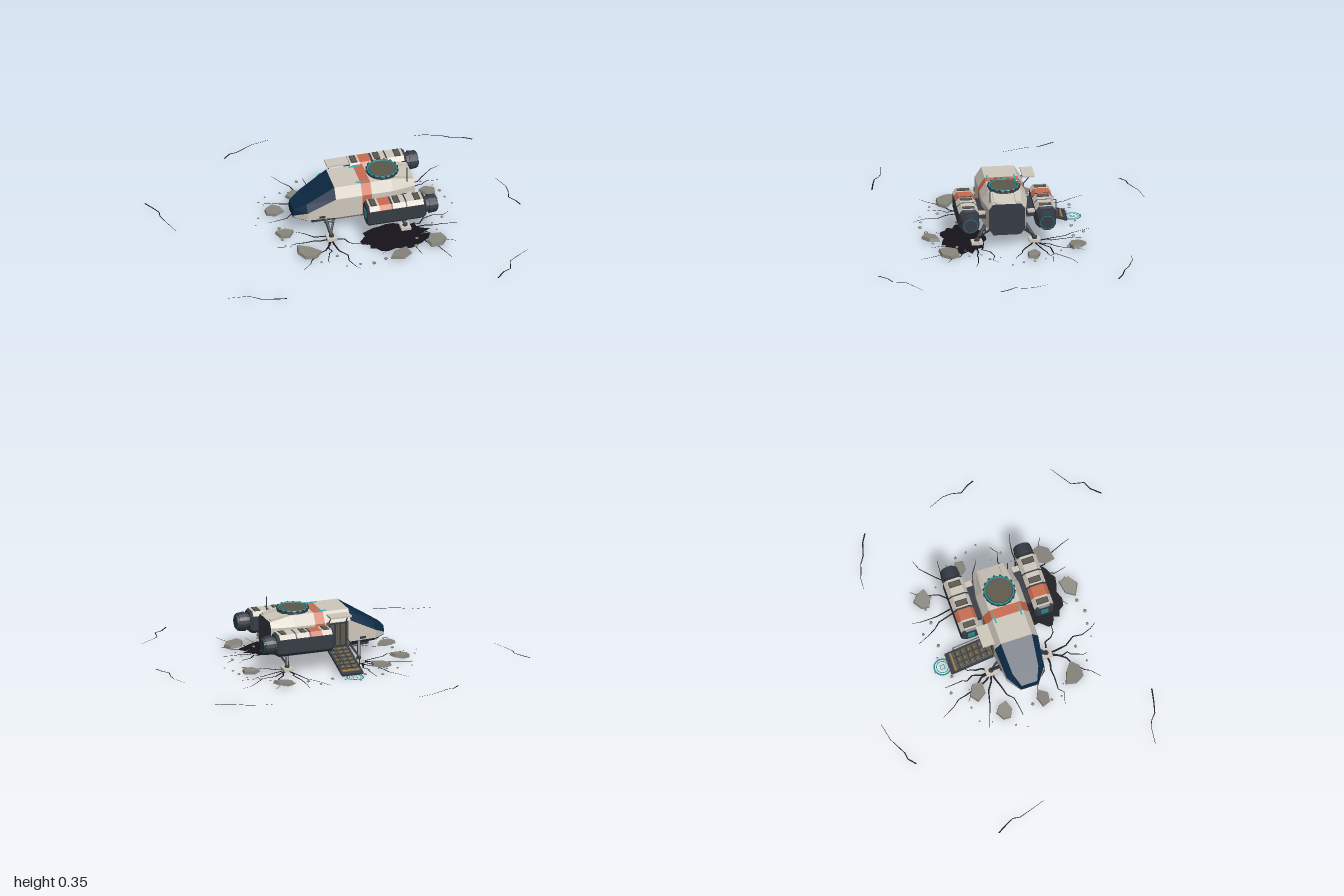
import * as THREE from 'three';

const mat = (name, color, double) => {
  const m = new THREE.MeshStandardMaterial({ color });
  m.name = name;
  m.flatShading = true;
  if (double) m.side = THREE.DoubleSide;
  return m;
};
const M = {
  shell: mat('paleShell', 0xcec7bb), orange: mat('orangeStripe', 0xc86c50),
  dark: mat('darkMetal', 0x363b44), glass: mat('navyGlass', 0x0b2a44),
  teal: mat('tealLight', 0x1f8a8a, true), rock: mat('rock', 0x87857c),
  olive: mat('olivePanel', 0x5c584a), black: mat('crackBlack', 0x15131a, true),
  amber: mat('amberMark', 0xb08a3c), cyan: mat('cyanLight', 0x2fb8c8),
};
const C = 0.033; // z of the ship's centre line

let seed = 7;
const rnd = () => (seed = (seed * 16807) % 2147483647) / 2147483647;

export function createModel() {
  const root = new THREE.Group();
  root.name = 'landedShuttle';
  const ship = new THREE.Group();
  ship.name = 'shuttle';
  ship.position.z = C;
  const ground = new THREE.Group();
  ground.name = 'brokenGround';
  root.add(ship, ground);

  const add = (parent, name, geo, m, x = 0, y = 0, z = 0) => {
    const mesh = new THREE.Mesh(geo, m);
    mesh.name = name;
    mesh.position.set(x, y, z);
    parent.add(mesh);
    return mesh;
  };
  const box = (p, name, m, w, h, d, x, y, z) => add(p, name, new THREE.BoxGeometry(w, h, d), m, x, y, z);
  const beam = (p, name, m, a, b, r) => {
    const A = new THREE.Vector3(...a), B = new THREE.Vector3(...b), d = B.clone().sub(A);
    const mesh = add(p, name, new THREE.CylinderGeometry(r, r, d.length(), 6), m);
    mesh.position.copy(A).add(B).multiplyScalar(0.5);
    mesh.quaternion.setFromUnitVectors(new THREE.Vector3(0, 1, 0), d.normalize());
  };
  // Cylinder lying along x
  const tubeX = (p, name, m, rBack, rFront, len, x, y) =>
    add(p, name, new THREE.CylinderGeometry(rBack, rFront, len, 16).rotateZ(-Math.PI / 2), m, x, y, 0);

  // Octagonal loft along x; section = [x, yBottom, yLow, yHigh, yTop, wBottom, w, wTop]
  // Sides: 0 low chamfer -z, 1 side, 2 high chamfer, 3 top, 4 high chamfer +z, 5 side, 6 low chamfer, 7 bottom, 8 cap
  const loft = (p, name, sections, pick) => {
    const rings = sections.map(([x, b, l, h, t, wb, w, wt]) => [
      [x, b, -wb], [x, l, -w], [x, h, -w], [x, t, -wt], [x, t, wt], [x, h, w], [x, l, w], [x, b, wb]]);
    const buckets = new Map();
    const tri = (m, ...v) => {
      if (!buckets.has(m)) buckets.set(m, []);
      buckets.get(m).push(...v.flat());
    };
    const n = rings.length - 1;
    for (let i = 0; i < n; i++) for (let j = 0; j < 8; j++) {
      const k = (j + 1) % 8, m = pick(i, j);
      const [a, b, c, d] = [rings[i][j], rings[i][k], rings[i + 1][k], rings[i + 1][j]];
      tri(m, a, b, c);
      tri(m, a, c, d);
    }
    for (let j = 1; j < 7; j++) {
      tri(pick(0, 8), rings[0][0], rings[0][j + 1], rings[0][j]);
      tri(pick(n, 8), rings[n][0], rings[n][j], rings[n][j + 1]);
    }
    const g = new THREE.Group();
    g.name = name;
    p.add(g);
    for (const [m, v] of buckets) {
      const geo = new THREE.BufferGeometry();
      geo.setAttribute('position', new THREE.Float32BufferAttribute(v, 3));
      geo.computeVertexNormals();
      add(g, name + '_' + m.name, geo, m);
    }
  };

  // Hull with windscreen, stripe, dark belly and dark rear bulkhead
  const full = [0.08, 0.115, 0.238, 0.295, 0.09, 0.126, 0.09];
  loft(ship, 'hull', [
    [-0.278, 0.1, 0.11, 0.122, 0.158, 0.04, 0.055, 0.045],
    [-0.21, 0.09, 0.112, 0.158, 0.198, 0.075, 0.107, 0.075],
    [-0.055, ...full], [0.095, ...full], [0.15, ...full], [0.27, ...full],
    [0.402, 0.085, 0.115, 0.235, 0.265, 0.078, 0.1, 0.078],
  ], (i, j) => {
    if (j === 8) return i === 0 ? M.glass : M.dark;
    if (j === 7 || (i < 2 && (j === 0 || j === 6))) return M.dark;
    if (i < 2 && j >= 2 && j <= 4) return M.glass;
    return i === 3 ? M.orange : M.shell;
  });
  box(ship, 'bellyKeel', M.dark, 0.56, 0.014, 0.15, 0.1, 0.078, 0);
  for (const s of [-1, 1]) {
    box(ship, 'noseVent', M.dark, 0.035, 0.012, 0.008, -0.13, 0.128, s * 0.119).rotation.y = s * -0.12;
    box(ship, 'roofLight', M.cyan, 0.06, 0.006, 0.008, 0.1, 0.296, s * 0.075);
    box(ship, 'roofRib', M.shell, 0.1, 0.012, 0.025, 0.345, 0.281, s * 0.06).rotation.z = -0.22;
  }

  // Roof hatch
  add(ship, 'hatchCollar', new THREE.CylinderGeometry(0.084, 0.088, 0.014, 24), M.dark, 0.24, 0.301, 0);
  add(ship, 'hatchLid', new THREE.CylinderGeometry(0.072, 0.072, 0.012, 24), M.olive, 0.24, 0.306, 0);
  add(ship, 'hatchRing', new THREE.TorusGeometry(0.08, 0.006, 6, 28).rotateX(Math.PI / 2), M.teal, 0.24, 0.309, 0);
  for (let i = 0; i < 16; i++) {
    const a = i * Math.PI / 8;
    box(ship, 'hatchBolt', M.dark, 0.012, 0.012, 0.012, 0.24 + 0.085 * Math.cos(a), 0.308, 0.085 * Math.sin(a)).rotation.y = -a;
  }
  beam(ship, 'antenna', M.dark, [0.36, 0.25, 0.09], [0.36, 0.355, 0.09], 0.003);

  // Engine pods, pylons and nozzles
  for (const s of [-1, 1]) {
    const pod = new THREE.Group();
    pod.name = s > 0 ? 'leftEnginePod' : 'rightEnginePod';
    pod.position.z = s * 0.213;
    ship.add(pod);
    const sec = (x, k = 0) => [x, 0.12 + k, 0.14 + k, 0.222 - k, 0.245 - k, 0.036 - k, 0.056 - k, 0.036 - k];
    loft(pod, 'podBody', [sec(0.09, 0.008), sec(0.102), sec(0.16), sec(0.225), sec(0.235), sec(0.308), sec(0.316), sec(0.41), sec(0.425, 0.008)],
      (i, j) => j < 2 || j > 4 || [0, 3, 5, 7].includes(i) ? M.dark : i === 2 ? M.orange : M.shell);
    for (const x of [0.13, 0.262, 0.378]) {
      box(pod, 'podVentFrame', M.dark, 0.034, 0.007, 0.068, x, 0.243, 0);
      box(pod, 'podVent', M.olive, 0.026, 0.008, 0.06, x, 0.244, 0);
    }
    box(pod, 'intakeLight', M.teal, 0.008, 0.05, 0.04, 0.089, 0.183, 0);
    tubeX(pod, 'nozzleNeck', M.dark, 0.045, 0.045, 0.05, 0.435, 0.183);
    tubeX(pod, 'nozzleBell', M.dark, 0.049, 0.054, 0.042, 0.465, 0.183);
    tubeX(pod, 'nozzleRim', M.dark, 0.043, 0.046, 0.012, 0.486, 0.183);
    tubeX(pod, 'nozzleGlow', M.teal, 0.04, 0.04, 0.004, 0.492, 0.183);
    tubeX(pod, 'nozzleCore', M.dark, 0.037, 0.037, 0.004, 0.494, 0.183);
    box(ship, 'pylon', M.dark, 0.2, 0.036, 0.06, 0.26, 0.185, s * 0.143);
    box(ship, 'pylonCap', M.shell, 0.03, 0.012, 0.05, 0.365, 0.205, s * 0.142);
  }

  // Landing legs
  for (const s of [-1, 1]) for (const x of [-0.09, 0.33]) {
    const leg = new THREE.Group();
    leg.name = x < 0 ? 'frontLeg' : 'rearLeg';
    ship.add(leg);
    beam(leg, 'legStrut', M.dark, [x - 0.025, 0.125, s * 0.1], [x, 0.025, s * 0.16], 0.01);
    beam(leg, 'legBrace', M.dark, [x + 0.035, 0.1, s * 0.09], [x, 0.04, s * 0.155], 0.006);
    beam(leg, 'legCross', M.dark, [x - 0.03, 0.09, s * 0.115], [x + 0.025, 0.085, s * 0.115], 0.005);
    box(leg, 'footPad', M.shell, 0.055, 0.016, 0.062, x, 0.014, s * 0.16);
    add(leg, 'footJoint', new THREE.CylinderGeometry(0.013, 0.015, 0.014, 8), M.dark, x, 0.028, s * 0.16);
  }

  // Side doorway, raised door and boarding ramp
  const door = new THREE.Group();
  door.name = 'boardingDoor';
  door.position.x = 0.022;
  ship.add(door);
  box(door, 'doorway', M.dark, 0.11, 0.145, 0.008, 0, 0.162, -0.124);
  for (const x of [-0.032, 0, 0.032]) box(door, 'cabinPanel', M.olive, 0.022, 0.12, 0.006, x, 0.165, -0.127);
  for (const s of [-1, 1]) {
    box(door, 'doorPost', M.olive, 0.01, 0.15, 0.012, s * 0.058, 0.165, -0.126);
    beam(door, 'doorStrut', M.dark, [s * 0.05, 0.235, -0.125], [s * 0.05, 0.283, -0.165], 0.003);
  }
  box(door, 'raisedDoor', M.shell, 0.125, 0.01, 0.068, 0, 0.284, -0.156);
  const ramp = new THREE.Group();
  ramp.name = 'ramp';
  ramp.position.set(0, 0.049, -0.25);
  ramp.rotation.x = -0.3;
  door.add(ramp);
  box(ramp, 'rampDeck', M.olive, 0.122, 0.01, 0.25, 0, 0, 0);
  for (let i = 0; i < 6; i++) {
    const z = -0.07 + i * 0.034;
    box(ramp, 'rampTread', M.dark, 0.1, 0.006, 0.006, 0, 0.005, z);
    for (const x of [-0.035, 0, 0.035]) box(ramp, 'rampStud', M.amber, 0.01, 0.005, 0.005, x, 0.0045, z + 0.013);
  }
  for (const x of [-0.018, 0.018]) box(ramp, 'rampSeam', M.dark, 0.004, 0.006, 0.2, x, 0.0045, 0.01);
  box(ramp, 'rampMark', M.amber, 0.11, 0.006, 0.007, 0, 0.006, -0.094);
  box(ramp, 'rampLip', M.dark, 0.122, 0.012, 0.022, 0, 0, -0.116);
  for (const s of [-1, 1]) {
    box(ramp, 'rampEdge', M.dark, 0.009, 0.014, 0.25, s * 0.058, 0.002, 0);
    beam(ramp, 'handRail', M.dark, [s * 0.058, 0.048, 0.14], [s * 0.058, 0.055, -0.06], 0.0025);
    beam(ramp, 'railPost', M.dark, [s * 0.058, 0, -0.075], [s * 0.058, 0.055, -0.06], 0.0025);
  }

  // Ring marker on the ground at the ramp foot
  const flat = (name, geo, m, x, y, z) => add(ground, name, geo.rotateX(-Math.PI / 2), m, x, y, z);
  flat('markerOuterRing', new THREE.RingGeometry(0.042, 0.05, 32), M.teal, 0.02, 0.006, -0.372);
  flat('markerInnerRing', new THREE.RingGeometry(0.031, 0.035, 32), M.teal, 0.02, 0.006, -0.372);
  flat('markerSquare', new THREE.RingGeometry(0.014, 0.019, 4, 1, Math.PI / 4), M.teal, 0.02, 0.006, -0.372);

  // Scorched patch with a ragged rim
  const blot = [];
  for (let i = 0; i < 30; i++) {
    const a = i / 30 * Math.PI * 2, k = 0.85 + 0.28 * rnd();
    blot.push(new THREE.Vector2(0.19 * k * Math.cos(a), 0.12 * k * Math.sin(a)));
  }
  flat('scorchPatch', new THREE.ShapeGeometry(new THREE.Shape(blot)), M.black, 0.255, 0.003, 0.26);

  // Ground cracks as tapering ribbons
  const crack = (pts, w0, w1) => {
    const pos = [], idx = [], n = pts.length - 1;
    pts.forEach(([x, z], i) => {
      const a = pts[Math.max(0, i - 1)], b = pts[Math.min(n, i + 1)];
      const dx = b[0] - a[0], dz = b[1] - a[1], l = Math.hypot(dx, dz), w = (w0 + (w1 - w0) * i / n) / 2;
      pos.push(x - dz / l * w, 0.004, z + dx / l * w, x + dz / l * w, 0.004, z - dx / l * w);
      if (i < n) idx.push(2 * i, 2 * i + 1, 2 * i + 2, 2 * i + 1, 2 * i + 3, 2 * i + 2);
    });
    const g = new THREE.BufferGeometry();
    g.setAttribute('position', new THREE.Float32BufferAttribute(pos, 3));
    g.setIndex(idx);
    g.computeVertexNormals();
    add(ground, 'groundCrack', g, M.black);
  };
  [[[-1, -.39], [-.965, -.33], [-.945, -.29], [-.95, -.25], [-.935, -.2], [-.9, -.095]],
    [[-.47, -.69], [-.43, -.725], [-.39, -.73], [-.34, -.755], [-.29, -.78], [-.19, -.8]],
    [[.9, -.525], [.85, -.555], [.78, -.575], [.735, -.605], [.685, -.62], [.655, -.632], [.59, -.635]],
    [[1, .14], [.985, .1], [.955, .055], [.967, 0], [.965, -.05], [.93, -.135]],
    [[-.47, .68], [-.55, .665], [-.61, .65], [-.645, .62], [-.68, .605], [-.785, .595]],
    [[.705, .785], [.75, .735], [.795, .715], [.81, .645], [.86, .61], [.93, .565]],
  ].forEach(p => crack(p, 0.008, 0.002));
  const radial = [
    [-0.09, -0.127, [[-.26, -.46], [-.1, -.4], [-.4, -.24], [-.39, -.04], [.0, -.33], [-.22, -.3]]],
    [-0.09, 0.193, [[0, .51], [-.155, .41], [-.31, .44], [-.4, .2], [-.29, .08], [.09, .3]]],
    [0.33, -0.127, [[.19, -.45], [.315, -.45], [.66, -.33], [.62, -.2], [.49, -.4], [.56, 0]]],
    [0.33, 0.193, [[.51, .53], [.64, .23], [.6, .1], [.57, .38], [.36, .46], [.15, .4]]],
  ];
  for (const [x, z, ends] of radial) for (const [ex, ez] of ends) {
    const pts = [];
    for (let i = 0; i <= 6; i++) {
      const t = i / 6, j = i % 6 ? 0.035 : 0;
      pts.push([x + (ex - x) * t + (rnd() - 0.5) * j, z + (ez - z) * t + (rnd() - 0.5) * j]);
    }
    crack(pts, 0.012, 0.002);
  }

  // Tilted rock slabs: x, z, radius
  [[-.18, -.235, .06], [-.335, -.13, .056], [-.33, .095, .052], [-.25, .3, .07], [.245, .44, .064],
    [.465, .36, .068], [.535, -.1, .05], [.425, -.35, .06]].forEach(([x, z, r], i) => {
    const g = new THREE.CylinderGeometry(r * 0.92, r, 0.018, 5 + i % 2);
    const p = g.attributes.position;
    for (let k = 0; k < p.count; k++) {
      const a = Math.atan2(p.getZ(k), p.getX(k)), f = 1 + 0.14 * Math.sin(3 * a + i) - 0.1 * Math.cos(a * 2 + i);
      p.setXYZ(k, p.getX(k) * f, p.getY(k), p.getZ(k) * f * 0.78);
    }
    add(ground, 'rockSlab', g, M.rock, x, 0.016, z).rotation.set((rnd() - 0.5) * 0.2, (i % 3 - 1) * 0.5, (rnd() - 0.5) * 0.25);
  });

  // Scattered pebbles
  for (let i = 0; i < 44; i++) {
    const a = i / 44 * Math.PI * 2, k = 0.85 + 0.28 * rnd(), r = 0.004 + 0.008 * rnd();
    const m = add(ground, 'pebble', new THREE.DodecahedronGeometry(r), M.rock, 0.08 + 0.5 * k * Math.cos(a), r * 0.6, 0.03 + 0.42 * k * Math.sin(a));
    m.scale.y = 0.6;
  }
  return root;
}
